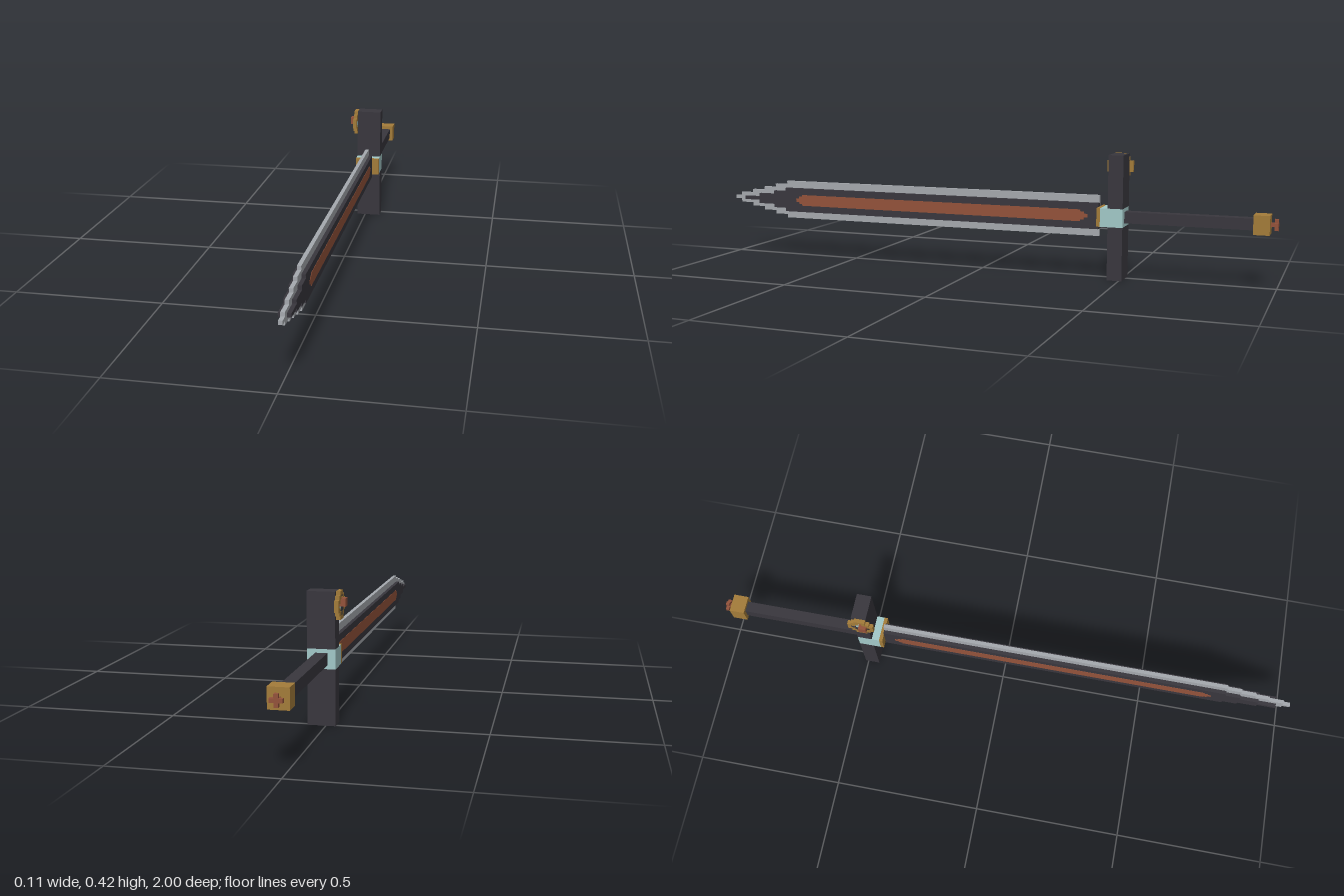
import * as THREE from 'three';

const mat = (name, color) => Object.assign(new THREE.MeshStandardMaterial({ color }), { name });

const U = 0.0125; // unit step of the blocky style
const CX = 0.0125, CY = 0.209; // blade axis

export function createModel() {
  const dark = mat('darkIron', 0x39373e);
  const gold = mat('gold', 0xa47c3a);
  const copper = mat('copper', 0x94533b);
  const teal = mat('paleTeal', 0xa3cac9);
  const steel = mat('steel', 0xa6aaaf);

  const root = new THREE.Group();
  root.name = 'sword';

  const add = (name, geometry, material) => {
    const mesh = new THREE.Mesh(geometry, material);
    mesh.name = name;
    root.add(mesh);
    return mesh;
  };

  // Box given by its limits on each axis
  const box = (name, m, x0, x1, y0, y1, z0, z1) =>
    add(name, new THREE.BoxGeometry(x1 - x0, y1 - y0, z1 - z0), m)
      .position.set((x0 + x1) / 2, (y0 + y1) / 2, (z0 + z1) / 2);

  // Stepped outline, symmetric in height: steps are [half height, end along z]
  const outline = (start, steps, Type = THREE.Shape) => {
    const upper = [];
    let z = start;
    for (const [h, end] of steps) {
      upper.push([z, h], [end, h]);
      z = end;
    }
    const lower = upper.map(([a, b]) => [a, -b]).reverse();
    return new Type([...upper, ...lower].map(([a, b]) => new THREE.Vector2(a, b)));
  };

  // Side-on shape (z, y) given a thickness across x
  const slab = (name, m, shape, width, x, y, z = 0) => {
    const g = new THREE.ExtrudeGeometry(shape, { depth: width, bevelEnabled: false });
    g.translate(0, 0, -width / 2);
    g.rotateY(-Math.PI / 2);
    add(name, g, m).position.set(x, y, z);
  };

  // Blade: thin steel edge, thicker dark body, copper inlay on both faces
  slab('bladeEdge', steel, outline(-0.422, [
    [5.5 * U, 0.775], [4.5 * U, 0.825], [3.5 * U, 0.875],
    [2.5 * U, 0.925], [1.5 * U, 0.975], [0.5 * U, 1],
  ]), U, CX, CY);
  slab('bladeBody', dark, outline(-0.422, [
    [3.5 * U, 0.775], [2.5 * U, 0.825], [1.5 * U, 0.89], [0.5 * U, 0.952],
  ]), 3 * U, CX, CY);
  for (const side of [-1, 1]) {
    slab('bladeInlay', copper, outline(-0.385, [
      [0.5 * U, -0.3725], [1.1 * U, -0.36], [1.6 * U, 0.705], [1.1 * U, 0.7175], [0.5 * U, 0.73],
    ]), 0.002, CX + side * 1.5 * U, CY);
  }

  // Crossguard with a pale collar and gold front plate
  const gx0 = -0.031, gx1 = 0.057;
  box('lowerGuard', dark, gx0, gx1, 0, 0.178, -0.51, -0.46);
  box('upperGuard', dark, gx0, gx1, 0.24, 0.416, -0.51, -0.46);
  box('collar', teal, gx0, gx1, 0.178, 0.24, -0.51, -0.434);
  box('collarPlate', gold, gx0, gx1, 0.178, 0.24, -0.434, -0.422);

  // Grip and pommel
  const rod = (name, m, half, z0, z1) =>
    box(name, m, CX - half, CX + half, CY - half, CY + half, z0, z1);
  rod('grip', dark, 1.5 * U, -0.925, -0.51);
  rod('pommel', gold, 2.5 * U, -0.976, -0.925);
  rod('pommelStem', copper, 0.5 * U, -1, -0.976);
  for (const [hx, hy] of [[1.5, 0.5], [0.5, 1.5]]) {
    box('pommelCross', copper, CX - hx * U, CX + hx * U, CY - hy * U, CY + hy * U, -1, -0.988);
  }

  // Round stepped badge on the right end of the guard
  const disc = (r, Type) => outline(-r * U, [
    [(r - 2) * U, (1 - r) * U], [(r - 1) * U, (2 - r) * U], [r * U, (r - 2) * U],
    [(r - 1) * U, (r - 1) * U], [(r - 2) * U, r * U],
  ], Type);
  const badgeY = 0.3725, badgeZ = -0.479;
  const ring = disc(3.5);
  ring.holes.push(disc(2.5, THREE.Path));
  slab('badgeRing', gold, ring, 0.0135, -0.038, badgeY, badgeZ);
  slab('badgeDisc', teal, disc(2.5), 0.006, -0.0343, badgeY, badgeZ);
  box('badgeKnob', copper, -0.057, -0.036, 0.367, 0.392, -0.483, -0.457);

  return root;
}
